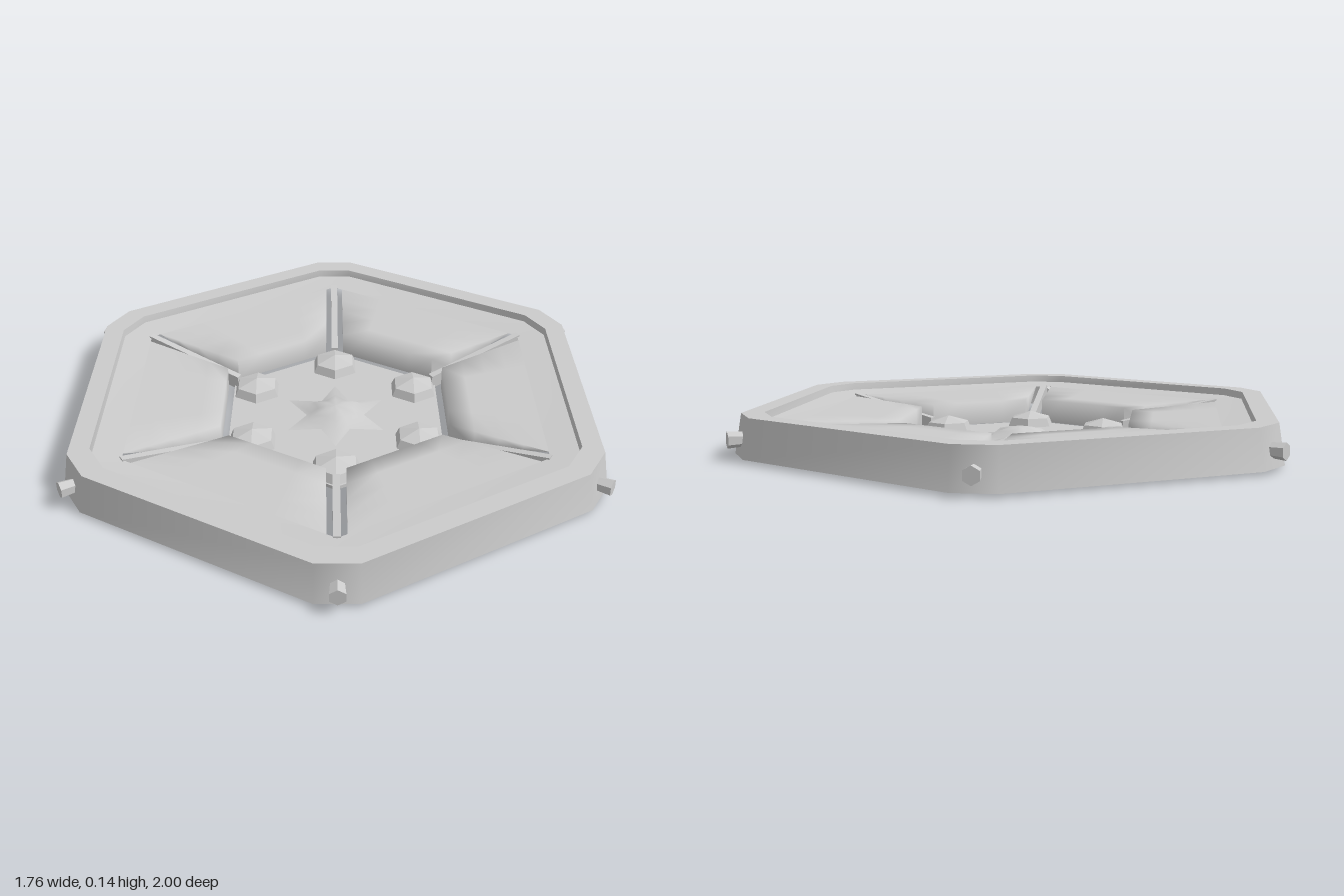
import * as THREE from 'three';
import { toCreasedNormals } from 'three/addons/utils/BufferGeometryUtils.js';

const flat = new THREE.MeshStandardMaterial({ color: 0xcccccc, flatShading: true, side: THREE.DoubleSide });
const smooth = new THREE.MeshStandardMaterial({ color: 0xcccccc, side: THREE.DoubleSide });

// Hexagon with corners on the z axis: a = apothem, cut = length trimmed off each edge end
function hexLoop(a, cut, y) {
  const pts = [];
  for (let k = 0; k < 6; k++) {
    const t = k * Math.PI / 3, r = a * 2 / Math.sqrt(3) - cut / 2;
    for (const s of [-1, 1]) {
      const w = s * cut * Math.sqrt(3) / 2;
      pts.push([r * Math.sin(t) + w * Math.cos(t), y, r * Math.cos(t) - w * Math.sin(t)]);
    }
  }
  return pts;
}

// Skin a list of equally long point rows
function skin(rows, closed) {
  const n = rows[0].length, index = [];
  for (let i = 0; i < rows.length - 1; i++) {
    for (let j = 0; j < (closed ? n : n - 1); j++) {
      const a = i * n + j, b = i * n + (j + 1) % n;
      index.push(a, b, b + n, a, b + n, a + n);
    }
  }
  const g = new THREE.BufferGeometry();
  g.setAttribute('position', new THREE.Float32BufferAttribute(rows.flat(2), 3));
  g.setIndex(index);
  g.computeVertexNormals();
  return g;
}

function add(parent, name, geometry, material, x = 0, y = 0, z = 0) {
  const m = new THREE.Mesh(geometry, material);
  m.name = name;
  m.position.set(x, y, z);
  parent.add(m);
  return m;
}

// Hollow wedge along +z: level top, inner wall, and side walls that taper away outwards
function panelGeometry() {
  const rows = [];
  for (let i = 0; i <= 4; i++) {
    const t = i / 4, z = 0.385 + 0.3 * t, half = 0.185 + 0.175 * t;
    const top = 0.092 + 0.013 * t, bottom = 0.01 + 0.094 * t;
    const row = [[-half, bottom, z]];
    for (let j = -2; j <= 2; j++) row.push([j / 2 * half, top, z]);
    row.push([half, bottom, z]);
    rows.push(row);
  }
  const foot = rows[0].map(([x, , z]) => [x, 0.01, z]);
  return skin([foot, ...rows].reverse(), false);
}

// Slanted bar along +z from the centre plate up to the ledge
function spokeGeometry() {
  const outline = [[0.4, 0.05], [0.79, 0.112], [0.79, 0.07], [0.42, 0.004], [0.4, 0.008]];
  const shape = new THREE.Shape(outline.map(p => new THREE.Vector2(...p)));
  const g = new THREE.ExtrudeGeometry(shape, { depth: 0.024, bevelEnabled: false });
  return g.translate(0, 0, -0.012).rotateY(-Math.PI / 2);
}

// Soft six-pointed raised star
function starGeometry() {
  const rings = [[0.19, 0.1, 0.012], [0.11, 0.085, 0.022], [0.085, 0.06, 0.04], [0.04, 0.03, 0.05], [0, 0, 0.052]];
  return skin(rings.map(([point, valley, y]) => Array.from({ length: 12 }, (_, i) => {
    const t = i * Math.PI / 6, r = i % 2 ? valley : point;
    return [r * Math.sin(t), y, r * Math.cos(t)];
  })), true);
}

export function createModel() {
  const model = new THREE.Group();
  model.name = 'hexagonalFrame';

  // Hollow rim with an inner ledge
  const profile = [[0.87, 0.08, 0.01], [0.85, 0.078, 0.14], [0.783, 0.07, 0.14], [0.78, 0.07, 0.115], [0.683, 0, 0.105]];
  add(model, 'rim', toCreasedNormals(skin(profile.map(p => hexLoop(...p)), true), 0.7), smooth);

  // Centre plate and star
  add(model, 'centrePlate', new THREE.CylinderGeometry(0.42, 0.42, 0.012, 6), flat, 0, 0.006, 0);
  add(model, 'star', starGeometry(), smooth);

  const panel = panelGeometry(), spoke = spokeGeometry();
  const boss = new THREE.CylinderGeometry(0.075, 0.088, 0.03, 6);
  const cap = new THREE.ConeGeometry(0.075, 0.022, 6);
  const pin = new THREE.CylinderGeometry(0.028, 0.02, 0.1, 6).rotateX(Math.PI / 2);

  for (let k = 0; k < 6; k++) {
    const angle = k * Math.PI / 3;

    // Spoke, pin and boss at each corner
    const corner = new THREE.Group();
    corner.name = 'corner';
    corner.rotation.y = angle;
    add(corner, 'spoke', spoke, flat);
    add(corner, 'pin', pin, flat, 0, 0.065, 0.95);
    add(corner, 'boss', boss, flat, 0, 0.027, 0.325);
    add(corner, 'bossCap', cap, flat, 0, 0.053, 0.325);
    model.add(corner);

    // Panel on each side
    add(model, 'panel', panel, smooth).rotation.y = angle + Math.PI / 6;
  }
  return model;
}
